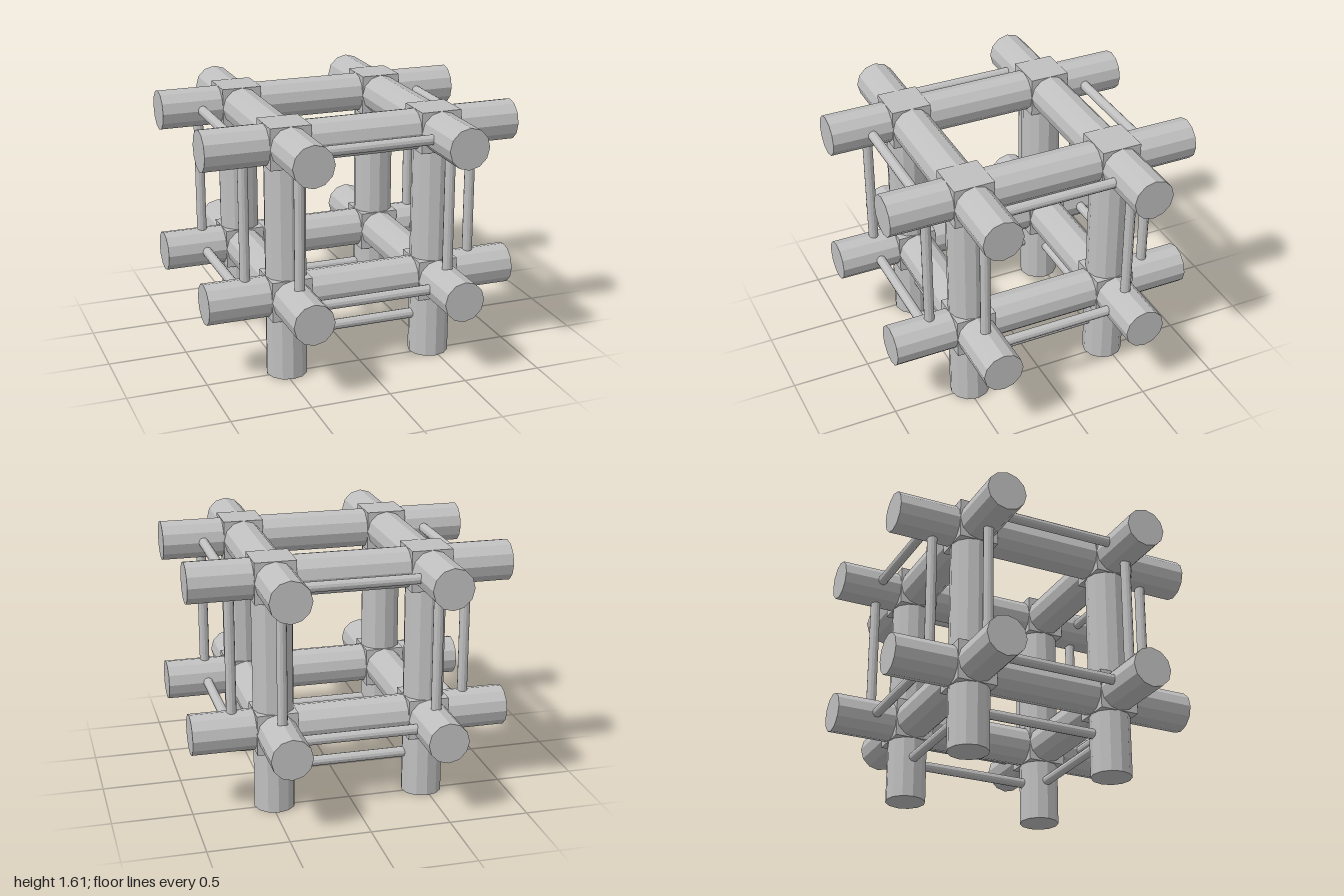
import * as THREE from 'three';

export function createModel() {
  const model = new THREE.Group();
  model.name = 'latticeFrame';
  const grey = new THREE.MeshStandardMaterial({ color: 0xc0c0c0 });
  grey.name = 'grey';
  grey.flatShading = true;

  const R = 0.128, ROD = 0.032;   // beam and rod radii
  const A = 0.48, OUT = 0.74;     // beam axis and rod offsets from centre
  const LOW = 0.525, HIGH = 1.485, LEG = 0.265;
  const MID = (LOW + HIGH) / 2;

  function add(name, geometry, x, y, z) {
    const mesh = new THREE.Mesh(geometry, grey);
    mesh.name = name;
    mesh.position.set(x, y, z);
    model.add(mesh);
  }

  // twelve-sided bar along the given axis
  function bar(axis, radius, length) {
    const g = new THREE.CylinderGeometry(radius, radius, length, 12);
    if (axis === 'x') g.rotateZ(Math.PI / 2);
    if (axis === 'z') g.rotateX(Math.PI / 2);
    return g;
  }

  const beamX = bar('x', R, 2), beamZ = bar('z', R, 2);
  const post = bar('y', R, HIGH);
  const joint = new THREE.BoxGeometry(2 * R, 2 * R, 2 * R);
  const rodX = bar('x', ROD, 0.72), rodZ = bar('z', ROD, 0.72);
  const rodY = bar('y', ROD, HIGH - LOW - 0.24);

  for (const s of [-1, 1]) {
    // horizontal beams and the rods joining their projecting ends
    for (const y of [LOW, HIGH]) {
      add('crossBeam', beamX, 0, y, s * A);
      add('longBeam', beamZ, s * A, y, 0);
      add('crossRod', rodX, 0, y, s * OUT);
      add('longRod', rodZ, s * OUT, y, 0);
    }
    // rods between the feet
    add('footCrossRod', rodX, 0, LEG, s * A);
    add('footLongRod', rodZ, s * A, LEG, 0);

    // posts, corner blocks and upright rods
    for (const t of [-1, 1]) {
      add('post', post, s * A, HIGH / 2, t * A);
      for (const y of [LOW, HIGH]) add('cornerBlock', joint, s * A, y, t * A);
      add('uprightRod', rodY, s * OUT, MID, t * A);
      add('uprightRod', rodY, s * A, MID, t * OUT);
    }
  }
  return model;
}
